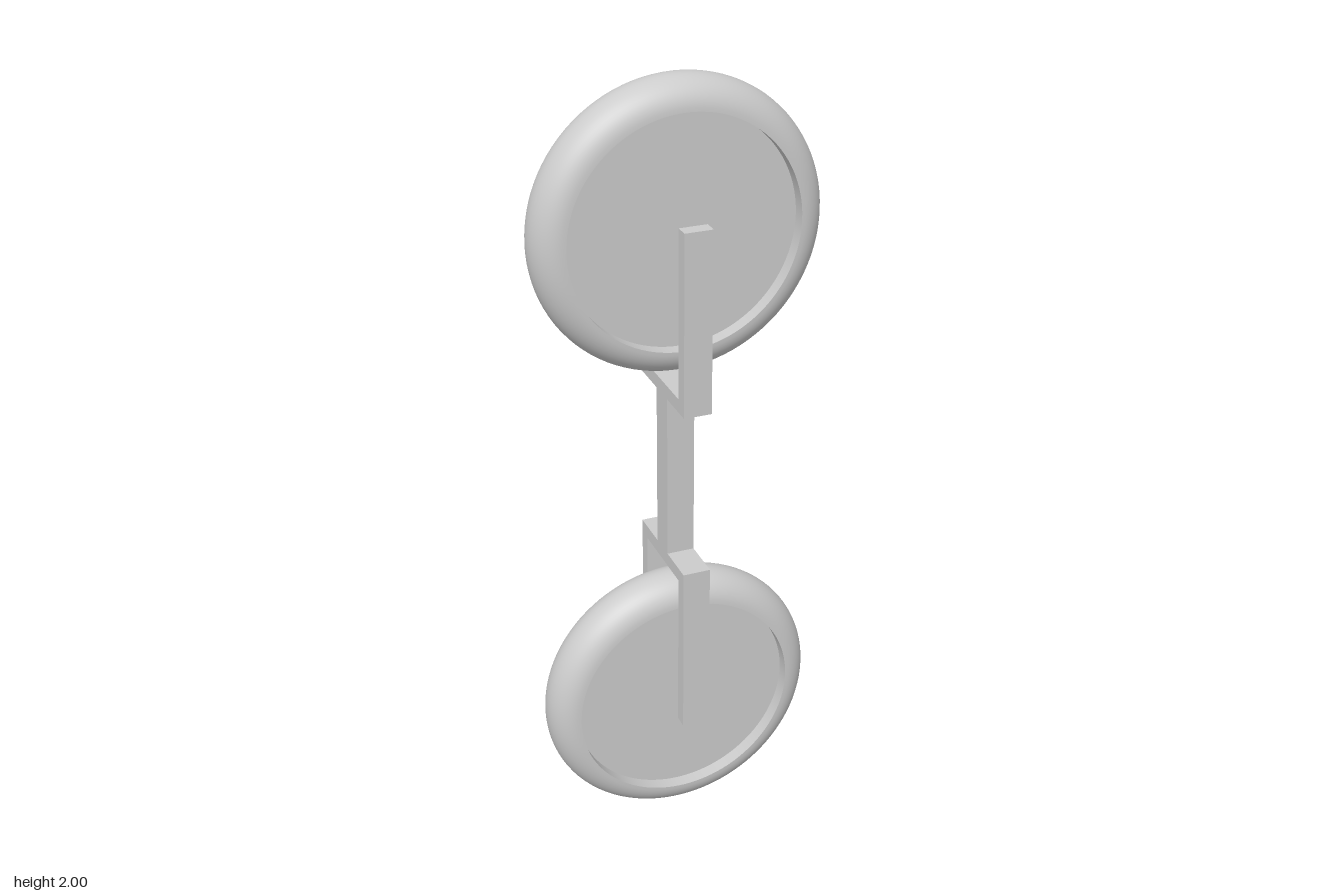
import * as THREE from 'three';

const material = new THREE.MeshStandardMaterial({ color: 0xcccccc });

function box(name, w, h, d, x, y, z) {
  const mesh = new THREE.Mesh(new THREE.BoxGeometry(w, h, d), material);
  mesh.name = name;
  mesh.position.set(x, y, z);
  return mesh;
}

// Revolve a profile and turn its axis to z
function lathe(name, points) {
  const mesh = new THREE.Mesh(new THREE.LatheGeometry(points, 96), material);
  mesh.name = name;
  mesh.rotation.x = Math.PI / 2;
  return mesh;
}

// Half-round tyre with a straight inner wall and a recessed disc
function makeWheel(name, y) {
  const R = 0.286, r = 0.071, recess = 0.036;
  const wheel = new THREE.Group();
  wheel.name = name;
  wheel.position.y = y;

  const tread = [];
  for (let i = 0; i <= 24; i++) {
    const a = -Math.PI / 2 + (Math.PI * i) / 24;
    tread.push(new THREE.Vector2(R + r * Math.cos(a), r * Math.sin(a)));
  }
  wheel.add(lathe('tyre', tread));

  for (const s of [1, -1]) {
    const wall = [new THREE.Vector2(R, s * r), new THREE.Vector2(R, s * recess)];
    wheel.add(lathe('innerRim', s > 0 ? wall : wall.reverse()));

    const disc = new THREE.Mesh(new THREE.CircleGeometry(R, 96), material);
    disc.name = 'wheelDisc';
    disc.position.z = s * recess;
    if (s < 0) disc.rotation.y = Math.PI;
    wheel.add(disc);
  }
  return wheel;
}

// Crossbar and two arms; dir is +1 for an upward fork, -1 for a downward one
function makeFork(name, baseY, dir) {
  const width = 0.07, t = 0.035, length = 0.46, half = 0.143;
  const fork = new THREE.Group();
  fork.name = name;
  fork.add(box('crossbar', width, t, 2 * (half - t), 0, baseY + (dir * t) / 2, 0));
  for (const s of [1, -1]) {
    fork.add(box('forkArm', width, length, t, 0, baseY + (dir * length) / 2, s * (half - t / 2)));
  }
  return fork;
}

export function createModel() {
  const model = new THREE.Group();
  model.name = 'twoWheelFrame';
  const lowBase = 0.788, highBase = 1.22;

  model.add(makeWheel('lowerWheel', 0.357), makeWheel('upperWheel', 1.643));
  model.add(makeFork('lowerFork', lowBase, -1), makeFork('upperFork', highBase, 1));
  model.add(box('stem', 0.07, highBase - lowBase, 0.07, 0, (lowBase + highBase) / 2, 0));
  return model;
}
